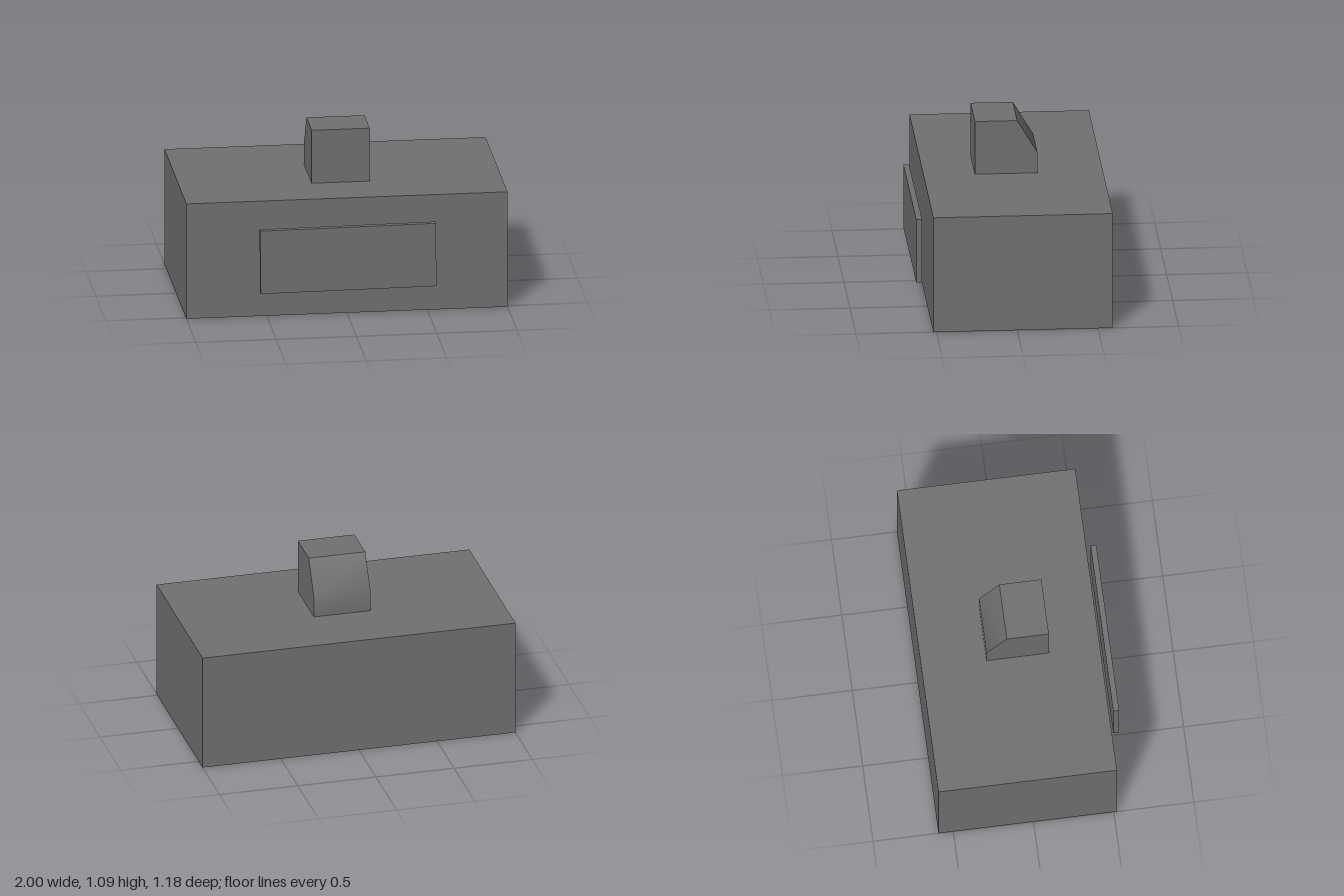
import * as THREE from 'three';
import { toCreasedNormals } from 'three/addons/utils/BufferGeometryUtils.js';

export function createModel() {
  const group = new THREE.Group();
  const material = new THREE.MeshStandardMaterial({ color: 0x707070 });

  function add(name, geometry, x, y, z) {
    const mesh = new THREE.Mesh(geometry, material);
    mesh.name = name;
    mesh.position.set(x, y, z);
    group.add(mesh);
    return mesh;
  }

  // Main block
  add('body', new THREE.BoxGeometry(2, 0.746, 1.112), 0, 0.373, -0.036);

  // Slightly tilted plate floating in front of the body
  const panel = add('frontPanel', new THREE.BoxGeometry(1.094, 0.408, 0.036), 0, 0.374, 0.574);
  panel.rotation.z = 0.008;

  // Top block: side profile in (z, y), extruded across x, soft crease between slope and back
  const profile = new THREE.Shape([
    [0.202, 0.746], [0.202, 1.09], [-0.06, 1.09], [-0.186, 0.88], [-0.186, 0.746],
  ].map(([z, y]) => new THREE.Vector2(z, y)));
  const width = 0.362;
  const block = new THREE.ExtrudeGeometry(profile, { depth: width, bevelEnabled: false });
  block.translate(0, 0, -width / 2).rotateY(-Math.PI / 2);
  add('topBlock', toCreasedNormals(block, 0.7), 0, 0, 0);

  return group;
}
